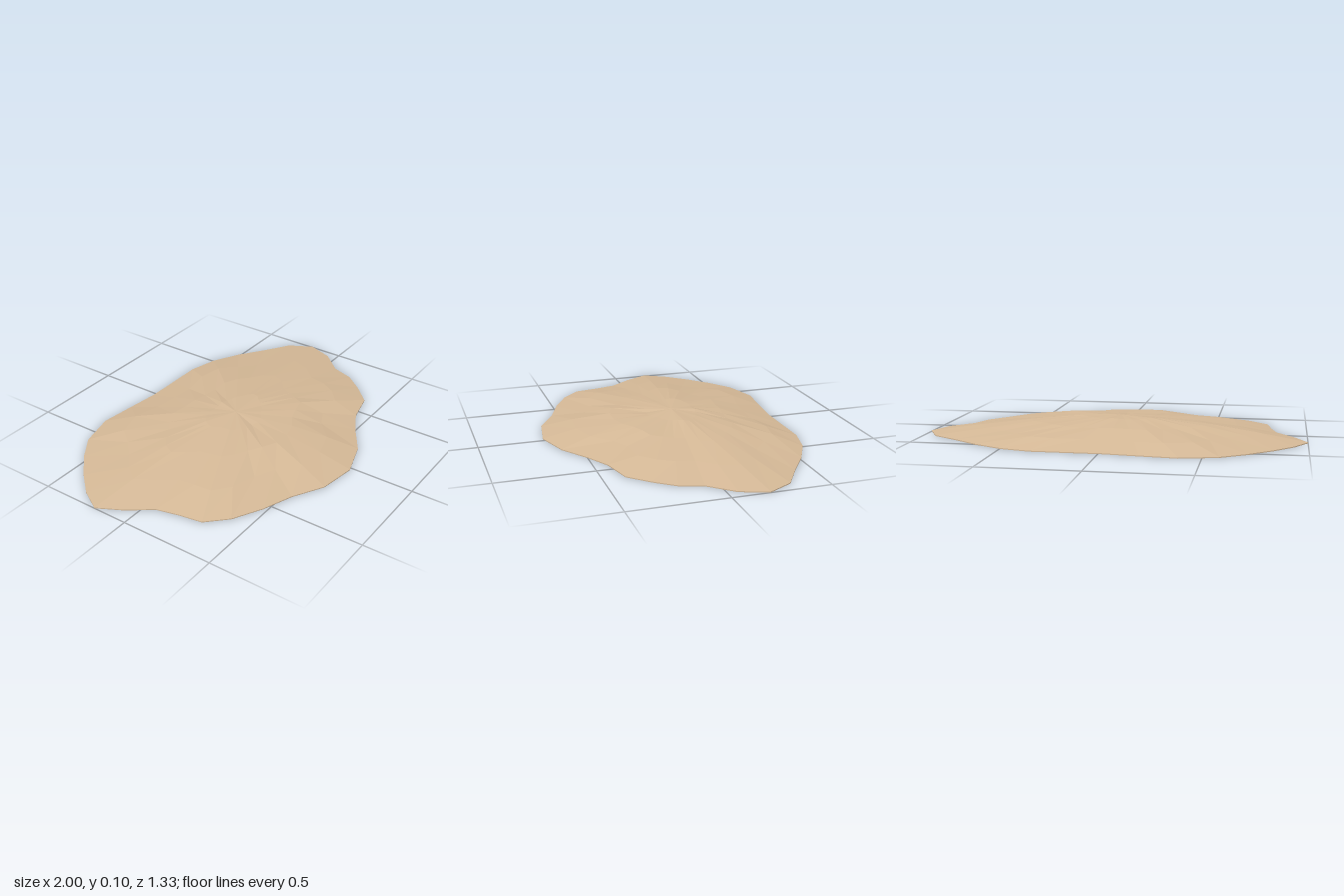
import * as THREE from 'three';

// Shoreline, clockwise seen from above: [x, z]
const OUTLINE = [
  [-1, -0.19], [-0.93, -0.31], [-0.83, -0.42], [-0.71, -0.53], [-0.58, -0.62], [-0.39, -0.67],
  [-0.2, -0.65], [-0.02, -0.63], [0.15, -0.63], [0.34, -0.63], [0.5, -0.59], [0.65, -0.51],
  [0.79, -0.41], [0.93, -0.32], [1, -0.19], [0.95, -0.05], [0.84, 0.07], [0.8, 0.19],
  [0.72, 0.29], [0.62, 0.39], [0.45, 0.43], [0.32, 0.5], [0.17, 0.6], [-0.02, 0.66],
  [-0.22, 0.63], [-0.38, 0.54], [-0.54, 0.48], [-0.69, 0.4], [-0.79, 0.3], [-0.81, 0.18],
  [-0.84, 0.06], [-0.93, -0.06],
];
const CENTER = [-0.02, -0.05];

// Rings from the peak to the rim, down the thin edge and in under the base
const RINGS = [
  { t: 0, y: 0.098, bump: 0 },
  { t: 0.2, y: 0.094, bump: 0.004, front: -0.012 },
  { t: 0.47, y: 0.071, bump: 0.004, front: 0.003 },
  { t: 0.74, y: 0.041, bump: 0.003 },
  { t: 1, y: 0.005, bump: 0 },
  { t: 1, y: 0, bump: 0 },
  { t: 0, y: 0, bump: 0 },
];

function ringPoint(ring, r, i) {
  const [x, z] = OUTLINE[i];
  const dx = x - CENTER[0], dz = z - CENTER[1];
  const angle = Math.atan2(dz, dx);
  // gentle waves in the inner rings
  const wave = Math.sin(angle * 5 + r * 2) * 0.6 + Math.sin(angle * 9 + r) * 0.4;
  const t = ring.t * (1 + (ring.bump ? 0.05 * wave : 0));
  const y = ring.y + ring.bump * wave + (ring.front || 0) * Math.max(0, Math.sin(angle));
  return [CENTER[0] + dx * t, y, CENTER[1] + dz * t];
}

function moundGeometry() {
  const n = OUTLINE.length;
  const positions = [];
  for (let r = 0; r < RINGS.length - 1; r++) {
    const inner = RINGS[r], outer = RINGS[r + 1];
    for (let i = 0; i < n; i++) {
      const j = (i + 1) % n;
      const a = ringPoint(inner, r, i), b = ringPoint(inner, r, j);
      const c = ringPoint(outer, r + 1, i), d = ringPoint(outer, r + 1, j);
      if (outer.t > 0) positions.push(...a, ...d, ...c);
      else positions.push(...a, ...b, ...c);
      if (inner.t > 0 && outer.t > 0) positions.push(...a, ...b, ...d);
    }
  }
  const geometry = new THREE.BufferGeometry();
  geometry.setAttribute('position', new THREE.Float32BufferAttribute(positions, 3));
  geometry.computeVertexNormals();
  return geometry;
}

export function createModel() {
  const group = new THREE.Group();
  group.name = 'sandMound';
  const sand = new THREE.MeshStandardMaterial({ color: 0xd4b896, flatShading: true });
  sand.name = 'sand';
  const mound = new THREE.Mesh(moundGeometry(), sand);
  mound.name = 'mound';
  group.add(mound);
  return group;
}
